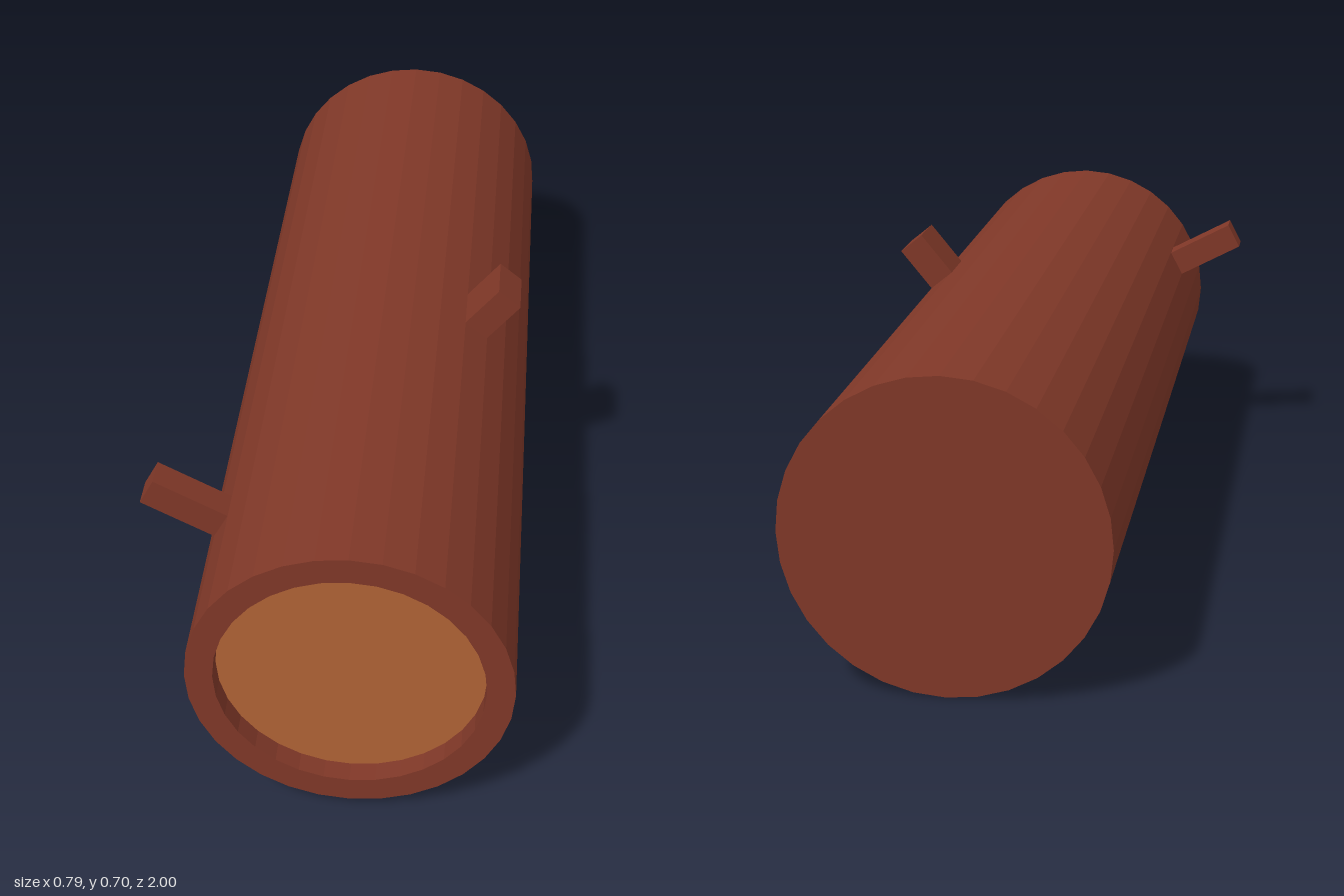
import * as THREE from 'three';

export function createModel() {
  const model = new THREE.Group();
  model.name = 'log';

  const bark = new THREE.MeshStandardMaterial({ color: 0x803828, flatShading: true });
  const wood = new THREE.MeshStandardMaterial({ color: 0xb06335, flatShading: true });

  const radius = 0.331, coreRadius = 0.274, recess = 0.045, sides = 32;

  // Everything shares the trunk axis, which rises slightly toward the front
  const trunk = new THREE.Group();
  trunk.name = 'trunk';
  trunk.position.set(0.061, 0.341, 0);
  trunk.rotation.x = -0.0075;
  model.add(trunk);

  const add = (name, geometry, material) => {
    const mesh = new THREE.Mesh(geometry, material);
    mesh.name = name;
    trunk.add(mesh);
    return mesh;
  };

  // Bark: closed back, outer wall, front rim and the wall of the shallow recess
  const profile = [
    [0, -1], [radius, -1], [radius, 1], [coreRadius, 1], [coreRadius, 1 - recess],
  ].map(([r, y]) => new THREE.Vector2(r, y));
  add('bark', new THREE.LatheGeometry(profile, sides).rotateX(Math.PI / 2), bark);

  // Exposed wood at the bottom of the recess
  add('cutWood', new THREE.CircleGeometry(coreRadius, sides).translate(0, 0, 1 - recess), wood);

  // Square branch stubs point straight out from the trunk axis
  const addBranch = (name, angle, tip, thickness, depth, z) => {
    const start = 0.27;
    const geometry = new THREE.BoxGeometry(tip - start, thickness, depth);
    geometry.translate((tip + start) / 2, 0, 0);
    const branch = add(name, geometry, bark);
    branch.rotation.z = THREE.MathUtils.degToRad(angle);
    branch.position.z = z;
  };
  addBranch('rightBranch', 152, 0.5, 0.064, 0.064, 0.688);
  addBranch('leftBranch', 50.7, 0.443, 0.064, 0.115, 0.055);

  return model;
}
